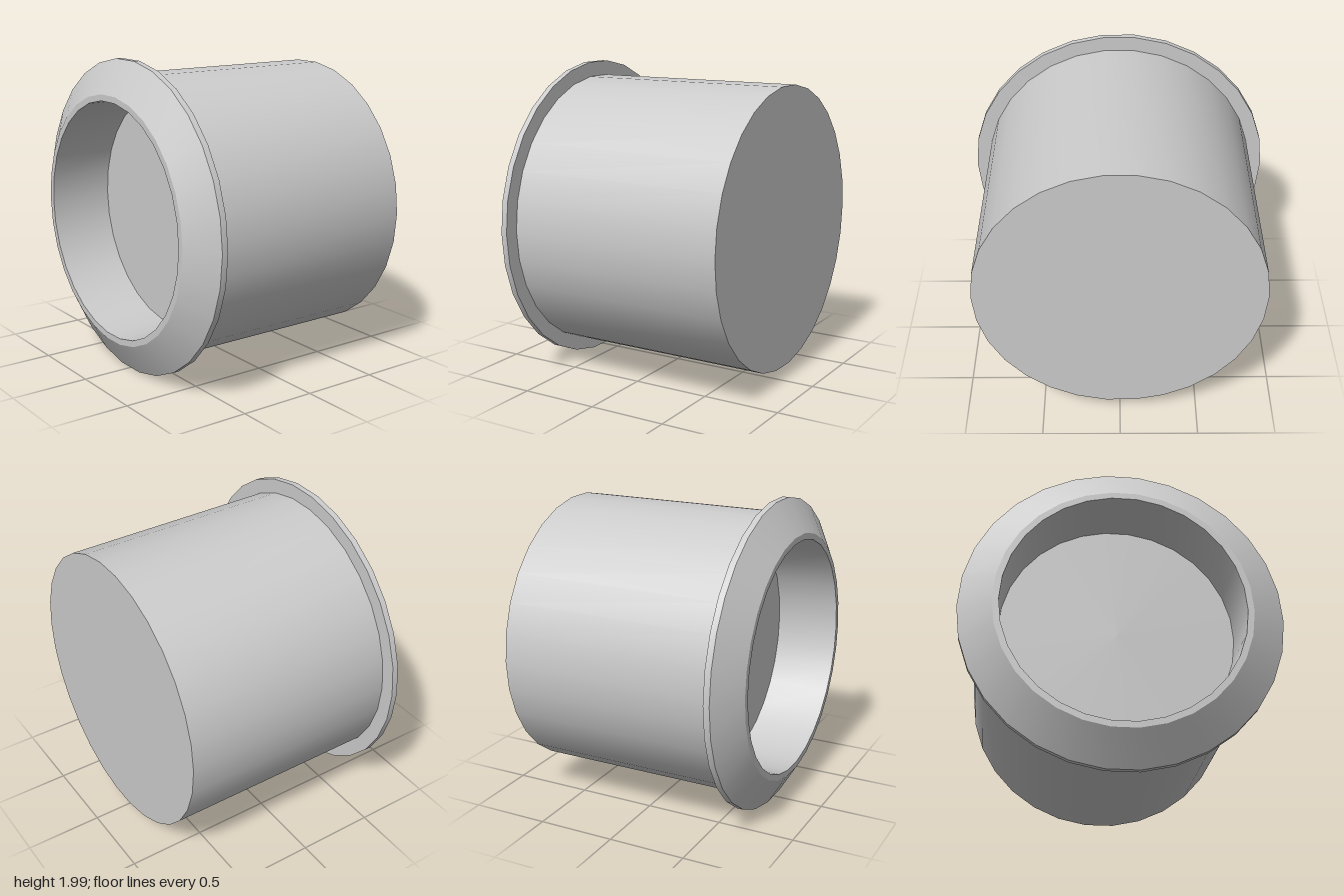
import * as THREE from 'three';
import { toCreasedNormals } from 'three/addons/utils/BufferGeometryUtils.js';

const SIDES = 30;
const CENTRE_Y = Math.sin(THREE.MathUtils.degToRad(84)); // flat facet rests on y = 0

// Profile of [radius, z] turned around the z axis, with corners on the x axis
function turnedPart(name, profile, material) {
  const points = profile.map(([r, z]) => new THREE.Vector2(r, z));
  const lathe = new THREE.LatheGeometry(points, SIDES, Math.PI / 2);
  lathe.rotateX(Math.PI / 2);
  const mesh = new THREE.Mesh(toCreasedNormals(lathe, 0.35), material);
  mesh.name = name;
  mesh.position.y = CENTRE_Y;
  return mesh;
}

export function createModel() {
  const group = new THREE.Group();
  group.name = 'flangedPlug';
  const grey = new THREE.MeshStandardMaterial({ color: 0xcccccc, side: THREE.DoubleSide });

  group.add(
    // Closed back and outer wall
    turnedPart('body', [[0, -0.79], [0.905, -0.79], [0.905, 0.625]], grey),
    // Collar with a bevelled face and narrow front lip
    turnedPart('flange', [[0.905, 0.625], [1, 0.625], [1, 0.665], [0.79, 0.79], [0.75, 0.79]], grey),
    // Shallow front pocket with a flat floor
    turnedPart('recess', [[0.75, 0.79], [0.75, 0.37], [0, 0.37]], grey),
  );
  return group;
}
